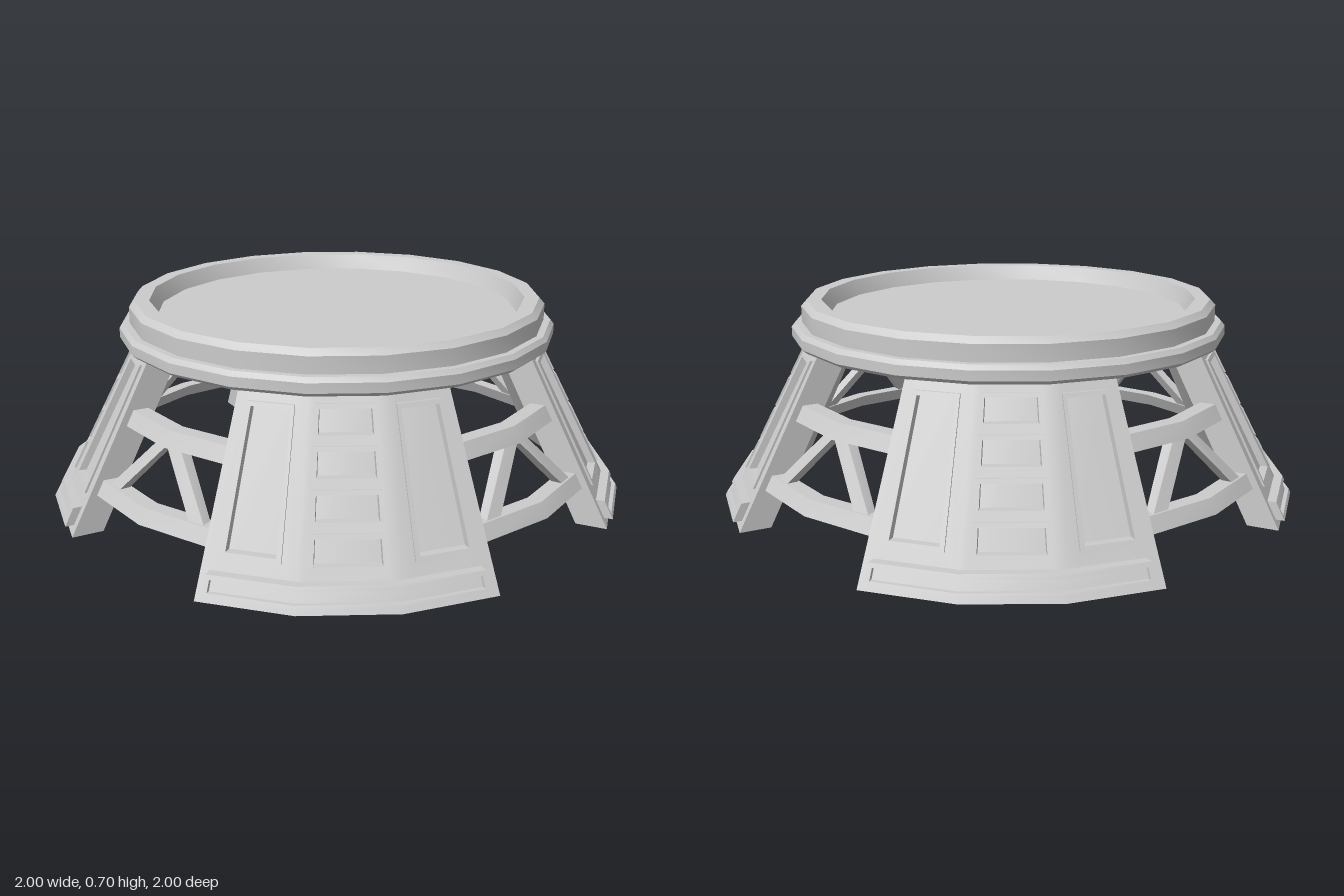
import * as THREE from 'three';
import { mergeGeometries, toCreasedNormals } from 'three/addons/utils/BufferGeometryUtils.js';

const SIDES = 20;
const material = new THREE.MeshStandardMaterial({ color: 0xcccccc });
const coneRadius = (y) => 0.985 - 0.518 * y;

// Wraps flat geometry on the 20-sided cone: x = facet number, y = height, z = offset from the surface
function wrap(geometry) {
  const p = geometry.attributes.position;
  for (let i = 0; i < p.count; i++) {
    const u = p.getX(i), y = p.getY(i), r = coneRadius(y) + p.getZ(i);
    const k = Math.floor(u), f = u - k;
    const a = (k * 2 * Math.PI) / SIDES, b = ((k + 1) * 2 * Math.PI) / SIDES;
    p.setXYZ(i,
      r * (Math.sin(a) * (1 - f) + Math.sin(b) * f), y,
      r * (Math.cos(a) * (1 - f) + Math.cos(b) * f));
  }
  return geometry;
}

function part(name, geometries) {
  const plain = geometries.map((g) => (g.index ? g.toNonIndexed() : g));
  const mesh = new THREE.Mesh(toCreasedNormals(mergeGeometries(plain), 0.5), material);
  mesh.name = name;
  return mesh;
}

const rectPoints = ([u0, u1, y0, y1]) =>
  [[u0, y0], [u1, y0], [u1, y1], [u0, y1]].map(([x, y]) => new THREE.Vector2(x, y));

// Flat outline with holes, thickened between two offsets and wrapped
function plate(points, holes, z0, z1) {
  const shape = new THREE.Shape(points);
  for (const h of holes) shape.holes.push(new THREE.Path(rectPoints(h)));
  const g = new THREE.ExtrudeGeometry(shape, { depth: z1 - z0, bevelEnabled: false });
  return wrap(g.translate(0, 0, z0));
}

// Band that may cross several facets, cut at each facet edge
function band(u0, u1, y0, y1, z0, z1) {
  const pieces = [];
  for (let u = u0; u < u1 - 1e-6;) {
    const next = Math.min(Math.floor(u + 1e-6) + 1, u1);
    const g = new THREE.BoxGeometry(next - u, y1 - y0, z1 - z0);
    pieces.push(wrap(g.translate((u + next) / 2, (y0 + y1) / 2, (z0 + z1) / 2)));
    u = next;
  }
  return pieces;
}

// Recessed openings on each of the three leg facets
const tall = (k) => [k + 0.18, k + 0.83, 0.125, 0.535];
const windows = [0.11, 0.222, 0.334, 0.446].map((y) => [-0.9, -0.1, y, y + 0.095]);
const facets = [[-2, [tall(-2)]], [-1, windows], [0, [tall(0)]]];

function createLeg() {
  const leg = new THREE.Group();
  leg.name = 'leg';
  leg.add(part('legShell', band(-2, 1, 0, 0.645, -0.105, -0.018)));

  const skins = [], frames = [];
  for (const [k, holes] of facets) {
    skins.push(plate(rectPoints([k, k + 1, 0, 0.645]), holes, -0.018, 0));
    for (const [u0, u1, y0, y1] of holes) {
      const inner = [u0 + 0.055, u1 - 0.055, y0 + 0.013, y1 - 0.013];
      frames.push(plate(rectPoints([u0, u1, y0, y1]), [inner], -0.018, 0.008));
    }
  }
  leg.add(part('legSkin', skins), part('panelFrames', frames));

  // Raised foot trim with a lip all round
  const [a, b, lo, hi] = [-1.9, 0.87, 0.025, 0.085];
  leg.add(part('footTrim', band(a, b, lo, hi, 0, 0.016)));
  leg.add(part('footTrimLip', [
    ...band(a, b, lo, lo + 0.013, 0.016, 0.029),
    ...band(a, b, hi - 0.013, hi, 0.016, 0.029),
    ...band(a, a + 0.05, lo + 0.013, hi - 0.013, 0.016, 0.029),
    ...band(b - 0.05, b, lo + 0.013, hi - 0.013, 0.016, 0.029),
  ]));
  return leg;
}

// Two curved beams and a pair of slanted braces filling the gap beside a leg
function createTruss() {
  const truss = new THREE.Group();
  truss.name = 'truss';
  truss.add(part('lowerBeam', band(1, 3, 0.13, 0.178, -0.075, -0.025)));
  truss.add(part('upperBeam', band(1, 3, 0.35, 0.4, -0.075, -0.025)));
  const slant = [[1.12, 0.17], [1.34, 0.17], [2, 0.355], [1.77, 0.355]];
  const left = slant.map(([u, y]) => new THREE.Vector2(u, y));
  const right = slant.map(([u, y]) => new THREE.Vector2(4 - u, y)).reverse();
  truss.add(part('braces', [left, right].map((s) => plate(s, [], -0.068, -0.032))));
  return truss;
}

// Stepped rim with a shallow dished floor
function createPlatform() {
  const profile = [
    [0, 0.638], [0.6, 0.638], [0.6, 0.57], [0.73, 0.57], [0.745, 0.583], [0.745, 0.615],
    [0.733, 0.63], [0.71, 0.63], [0.71, 0.685], [0.692, 0.705], [0.642, 0.705],
    [0.617, 0.652], [0, 0.652],
  ].map(([r, y]) => new THREE.Vector2(r, y));
  return part('platform', [new THREE.LatheGeometry(profile, SIDES)]);
}

export function createModel() {
  const model = new THREE.Group();
  model.name = 'roundPlatform';
  model.add(createPlatform());
  for (let i = 0; i < 4; i++) {
    const quarter = new THREE.Group();
    quarter.name = 'quarter';
    quarter.add(createLeg(), createTruss());
    quarter.rotation.y = (i * Math.PI) / 2;
    model.add(quarter);
  }
  return model;
}
